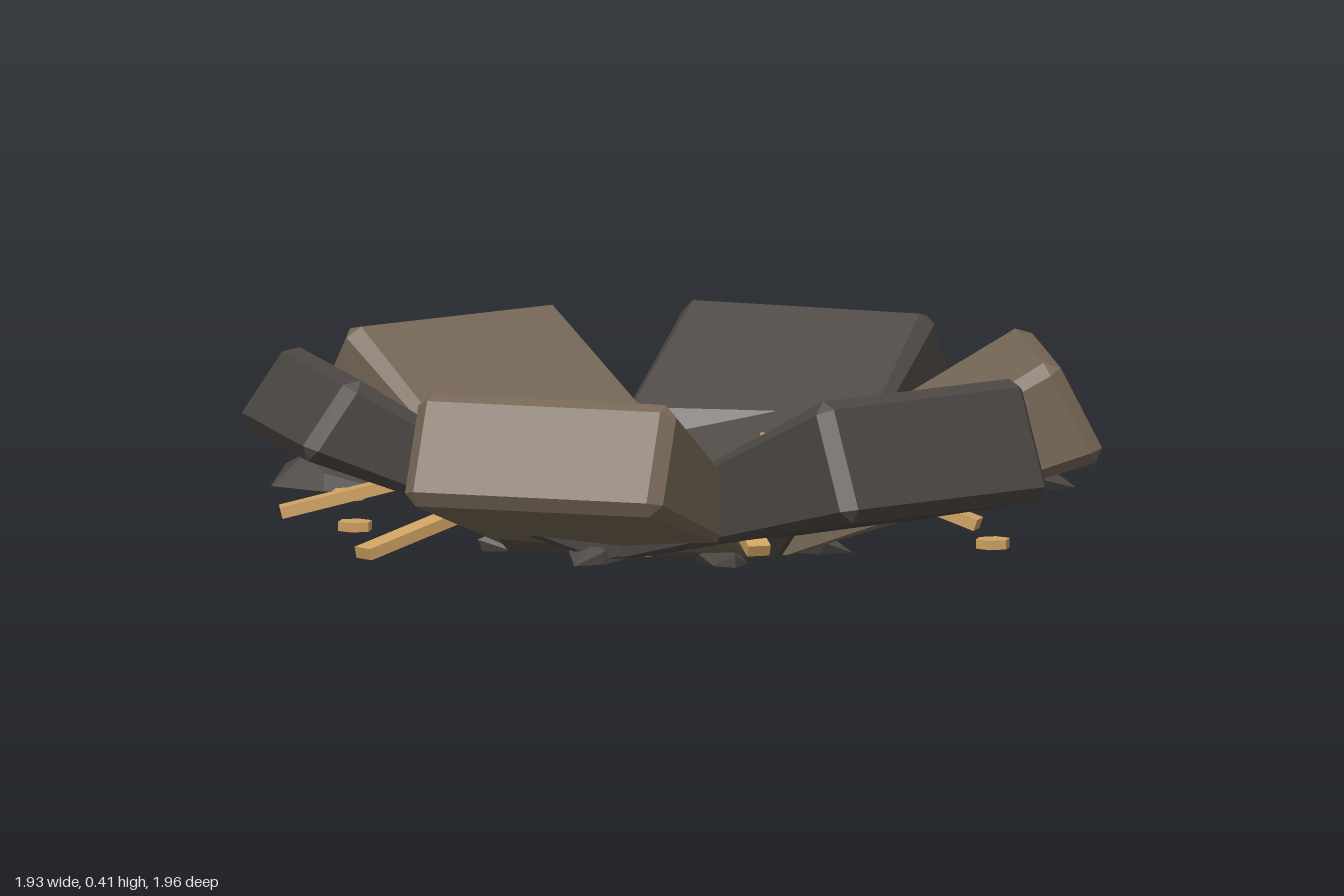
import * as THREE from 'three';
import { ConvexGeometry } from 'three/addons/geometries/ConvexGeometry.js';

const CX = 0.03, CZ = 0.05, DEG = Math.PI / 180;

const mat = (name, color, extra = {}) => {
  const m = new THREE.MeshStandardMaterial({ color, flatShading: true, ...extra });
  m.name = name;
  return m;
};

// Wedge-shaped slab with chamfered edges: profile in (radius, height), extruded sideways
function slabGeometry(profile, halfWidth, bevel) {
  const corner = (i, s) => new THREE.Vector3(profile[i][0], profile[i][1], s * halfWidth);
  const points = [];
  for (const s of [-1, 1]) {
    for (let i = 0; i < 4; i++) {
      const c = corner(i, s);
      const dirs = [corner((i + 1) % 4, s), corner((i + 3) % 4, s), corner(i, -s)]
        .map((p) => p.sub(c).normalize());
      // the inner end stays almost sharp
      const b = i < 2 ? bevel : 0.008;
      for (const [u, v] of [[0, 1], [1, 2], [0, 2]]) {
        points.push(c.clone().addScaledVector(dirs[u], b).addScaledVector(dirs[v], b));
      }
    }
  }
  return new ConvexGeometry(points);
}

// Faceted stone with a flat base on the ground
function stoneGeometry(rx, height, rz, seed) {
  const points = [];
  for (let i = 0; i < 6; i++) {
    const a = i * 60 * DEG + seed;
    const r = 0.84 + 0.16 * Math.sin(i * 2.3 + seed * 5);
    points.push(new THREE.Vector3(Math.cos(a) * rx * r, height * (i % 2 ? 0.45 : 0.05), Math.sin(a) * rz * r));
    points.push(new THREE.Vector3(Math.cos(a) * rx * 0.75, 0, Math.sin(a) * rz * 0.75));
  }
  points.push(new THREE.Vector3(0.1 * rx, height, -0.15 * rz), new THREE.Vector3(-0.35 * rx, height * 0.85, 0.2 * rz));
  return new ConvexGeometry(points);
}

export function createModel() {
  const group = new THREE.Group();
  const darkStone = mat('dark stone', 0x4c4743);
  const lightStone = mat('light stone', 0x766756);
  const pitStone = mat('pit stone', 0x45403d, { side: THREE.DoubleSide });
  const gold = mat('gold', 0xcfa262);

  const add = (name, geometry, material, x, y, z) => {
    const mesh = new THREE.Mesh(geometry, material);
    mesh.name = name;
    mesh.position.set(x, y, z);
    group.add(mesh);
    return mesh;
  };

  // Six tilted slabs: azimuth, top rim radius, outer foot radius and height, inner foot and inner top radius
  const slabs = [
    [98, 0.80, 0.915, 0.19, 0.22, 0.10],
    [37.7, 0.83, 0.93, 0.165, 0.16, -0.02],
    [-17.8, 0.80, 0.915, 0.20, 0.22, 0.12],
    [-78, 0.77, 0.885, 0.25, 0.22, 0.12],
    [219.6, 0.74, 0.855, 0.24, 0.22, 0.13],
    [154.5, 0.77, 0.89, 0.25, 0.22, 0.12],
  ];
  slabs.forEach(([az, rimR, footR, footY, innerR, innerTopR], i) => {
    const profile = [[rimR, 0.425], [footR, footY], [innerR, 0.005], [innerTopR, 0.02]];
    const slab = add('slab', slabGeometry(profile, 0.292, 0.028), i % 2 ? darkStone : lightStone, CX, 0, CZ);
    slab.rotation.y = -az * DEG;
  });

  // Square pit walls behind the slab joints
  const pit = new THREE.CylinderGeometry(0.43 * Math.SQRT2, 0.29 * Math.SQRT2, 0.217, 4, 1, true);
  add('pitWall', pit, pitStone, CX, 0.1185, CZ).rotation.y = 45 * DEG;

  // Gold floor in the middle
  add('floor', new THREE.CylinderGeometry(0.25, 0.25, 0.048, 10), gold, CX, 0.027, CZ);

  // Gold rods running outward and down through the slabs: inner azimuth, outer azimuth, outer radius
  const rods = [[178, 171, 0.83], [122.5, 126, 0.89], [60, 60, 0.6], [0, 2, 0.68], [302, 302, 0.64], [239, 241, 0.62]];
  for (const [a0, a1, r1] of rods) {
    const at = (a, r, y) => new THREE.Vector3(CX + Math.cos(a * DEG) * r, y, CZ + Math.sin(a * DEG) * r);
    const start = at(a0, 0.31, 0.19), end = at(a1, r1, 0.06);
    const mid = start.clone().add(end).multiplyScalar(0.5);
    const rod = add('rod', new THREE.BoxGeometry(0.05, 0.025, start.distanceTo(end)), gold, mid.x, mid.y, mid.z);
    rod.lookAt(end);
  }

  // Loose gold chips
  for (const [x, z] of [[-0.705, -0.145], [0.79, 0.32], [0.3, -0.58], [-0.4, -0.5], [-0.6, 0.32]]) {
    add('chip', new THREE.CylinderGeometry(0.038, 0.038, 0.02, 6), gold, x, 0.055, z);
  }

  // Stones lying behind the ring
  add('largeStone', stoneGeometry(0.145, 0.085, 0.125, 0.5), darkStone, -0.845, 0, -0.65);
  add('smallStone', stoneGeometry(0.118, 0.06, 0.085, 0.1), darkStone, 0.62, 0, -0.917);

  // Pointed rubble under the slabs
  for (let i = 0; i < 8; i++) {
    const a = (i * 45 + 15) * DEG;
    const shard = add('shard', stoneGeometry(0.13, 0.06, 0.05, i), darkStone,
      CX + Math.cos(a) * 0.33, 0, CZ + Math.sin(a) * 0.33);
    shard.rotation.y = -a + 0.3 * Math.sin(i * 3);
  }
  return group;
}
